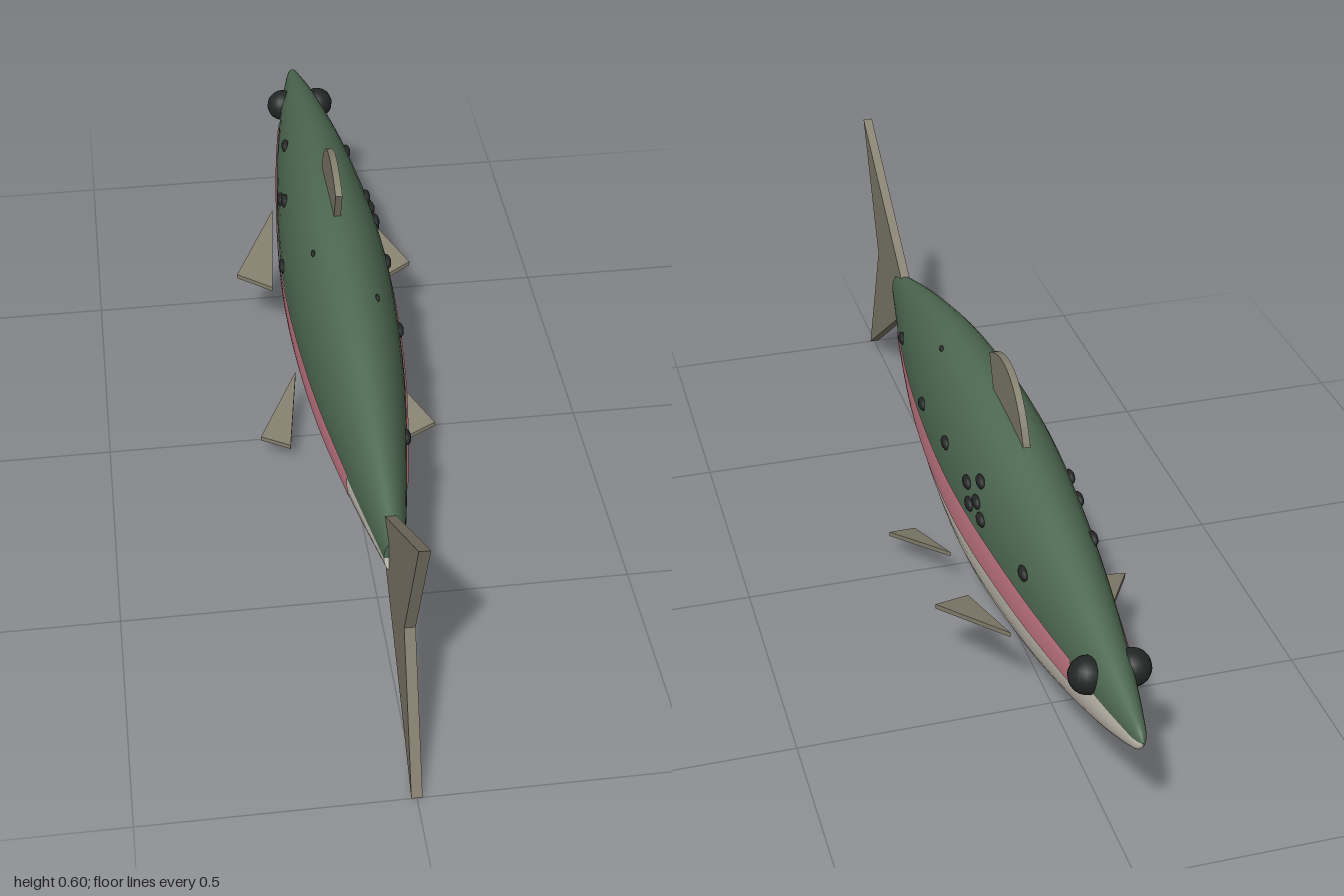
import * as THREE from 'three';
import { ConvexGeometry } from 'three/addons/geometries/ConvexGeometry.js';

const mat = (name, color, side = THREE.FrontSide) => {
  const m = new THREE.MeshStandardMaterial({ color, side });
  m.name = name;
  return m;
};

// Body outline stations: z, back height, belly height
const MID = 0.3;
const outline = new THREE.CatmullRomCurve3([
  [-1, 0.302, 0.298], [-0.985, 0.318, 0.277], [-0.95, 0.331, 0.256], [-0.8, 0.378, 0.195],
  [-0.5, 0.446, 0.112], [-0.15, 0.486, 0.066], [0.2, 0.466, 0.108], [0.49, 0.404, 0.193], [0.7, 0.338, 0.264],
].map(([z, t, b]) => new THREE.Vector3(t, b, z)), false, 'centripetal');

const stations = outline.getPoints(400);
function section(z) {
  let i = 1;
  while (i < stations.length - 1 && stations[i].z < z) i++;
  const a = stations[i - 1], b = stations[i];
  const p = a.clone().lerp(b, THREE.MathUtils.clamp((z - a.z) / (b.z - a.z), 0, 1));
  return { up: p.x - MID, down: MID - p.y, half: (p.x - p.y) / 2, w: (p.x - p.y) * 0.262 };
}

// Half width of the body at a given height
function widthAt(y, z) {
  const s = section(z);
  const k = (y - MID) / (y > MID ? s.up : s.down);
  return s.w * Math.sqrt(Math.max(0, 1 - k * k));
}

// Surface patch whose front is on the side of du x dv
function patch(fn, nu, nv) {
  const pos = [], idx = [];
  for (let j = 0; j <= nv; j++)
    for (let i = 0; i <= nu; i++) pos.push(...fn(i / nu, j / nv));
  for (let j = 0; j < nv; j++)
    for (let i = 0; i < nu; i++) {
      const a = j * (nu + 1) + i, c = a + nu + 1;
      idx.push(a, a + 1, c, a + 1, c + 1, c);
    }
  const g = new THREE.BufferGeometry();
  g.setAttribute('position', new THREE.Float32BufferAttribute(pos, 3));
  g.setIndex(idx);
  g.computeVertexNormals();
  return g;
}

export function createModel() {
  const model = new THREE.Group();
  model.name = 'fish';
  const green = mat('backGreen', 0x4f6a52);
  const cream = mat('bellyCream', 0xd8d2c4);
  const pink = mat('stripePink', 0xd07f8d, THREE.DoubleSide);
  const finGrey = mat('finGrey', 0x837e6d);
  const dark = mat('spotDark', 0x242626);
  const add = (name, geometry, material) => {
    const m = new THREE.Mesh(geometry, material);
    m.name = name;
    model.add(m);
    return m;
  };

  // Back and belly halves, each with its half of the end cap
  const ring = (t, z, k = 1) => {
    const s = section(z);
    const h = Math.sin(t) > 0 ? s.up : s.down;
    return [Math.cos(t) * s.w * k, MID + Math.sin(t) * h * k, z];
  };
  for (const [name, start, material] of [['back', 0, green], ['belly', Math.PI, cream]]) {
    const angle = (u) => start + u * Math.PI;
    // stations are packed closer together at the nose
    add(name, patch((u, v) => ring(angle(u), -1 + 1.7 * Math.pow(v, 1.6)), 20, 48), material);
    add(name + 'EndCap', patch((u, v) => ring(angle(u), 0.7, 1 - v), 20, 1), material);
  }

  // Side stripes lying just above the skin
  for (const side of [1, -1]) {
    add(side > 0 ? 'leftStripe' : 'rightStripe', patch((u, v) => {
      const z = -0.77 + 1.26 * v;
      const low = 0.285 - 0.22 * section(z).half;
      const y = THREE.MathUtils.lerp(low, 0.316, side > 0 ? u : 1 - u);
      return [side * (widthAt(y, z) + 0.003), y, z];
    }, 6, 40), pink);
  }

  // Eyes
  for (const side of [1, -1]) {
    const eye = add(side > 0 ? 'leftEye' : 'rightEye', new THREE.SphereGeometry(0.035, 16, 12), dark);
    eye.position.set(side * 0.041, 0.32, -0.822);
  }

  // Spots: z, y on each flank
  const spots = {
    1: [[0.41, 0.33], [0.1, 0.345], [-0.1, 0.37], [-0.25, 0.37], [-0.3, 0.4], [-0.28, 0.34],
      [-0.31, 0.362], [-0.345, 0.344], [-0.55, 0.355], [0.13, 0.452]],
    '-1': [[-0.53, 0.393], [-0.36, 0.367], [-0.317, 0.392], [-0.168, 0.328], [-0.03, 0.455]],
  };
  const spotGeometry = new THREE.SphereGeometry(1, 10, 8);
  for (const side of [1, -1])
    for (const [z, y] of spots[side]) {
      const spot = add('spot', spotGeometry, dark);
      const s = y > 0.44 ? 0.5 : 1;
      spot.scale.set(0.009 * s, 0.013 * s, 0.02 * s);
      spot.position.set(side * widthAt(y, z), y, z);
    }

  // Flat upright fins drawn as (z, y) outlines
  const uprightFin = (name, shape, depth) => {
    const g = new THREE.ExtrudeGeometry(shape, { depth, bevelEnabled: false, curveSegments: 12 });
    g.translate(0, 0, -depth / 2);
    g.rotateY(-Math.PI / 2);
    add(name, g, finGrey);
  };
  const tail = new THREE.Shape([[0.62, 0.277], [1, 0], [0.88, 0.305], [1, 0.6], [0.62, 0.333]]
    .map((p) => new THREE.Vector2(...p)));
  uprightFin('tailFin', tail, 0.02);

  const dorsal = new THREE.Shape();
  dorsal.moveTo(-0.33, 0.44);
  dorsal.lineTo(-0.13, 0.44);
  dorsal.lineTo(-0.083, 0.553);
  dorsal.bezierCurveTo(-0.16, 0.6, -0.26, 0.6, -0.315, 0.48);
  uprightFin('dorsalFin', dorsal, 0.014);

  // Paired lower fins: thin triangular plates
  const pairs = {
    PectoralFin: [[0.095, 0.212, -0.54], [0.193, 0.17, -0.36], [0.118, 0.153, -0.325]],
    PelvicFin: [[0.093, 0.096, -0.095], [0.184, 0.058, 0.065], [0.124, 0.045, 0.085]],
  };
  for (const [name, corners] of Object.entries(pairs))
    for (const side of [1, -1]) {
      const pts = corners.flatMap(([x, y, z]) =>
        [-0.005, 0.005].map((d) => new THREE.Vector3(side * x, y + d, z)));
      add((side > 0 ? 'left' : 'right') + name, new ConvexGeometry(pts), finGrey);
    }
  return model;
}
